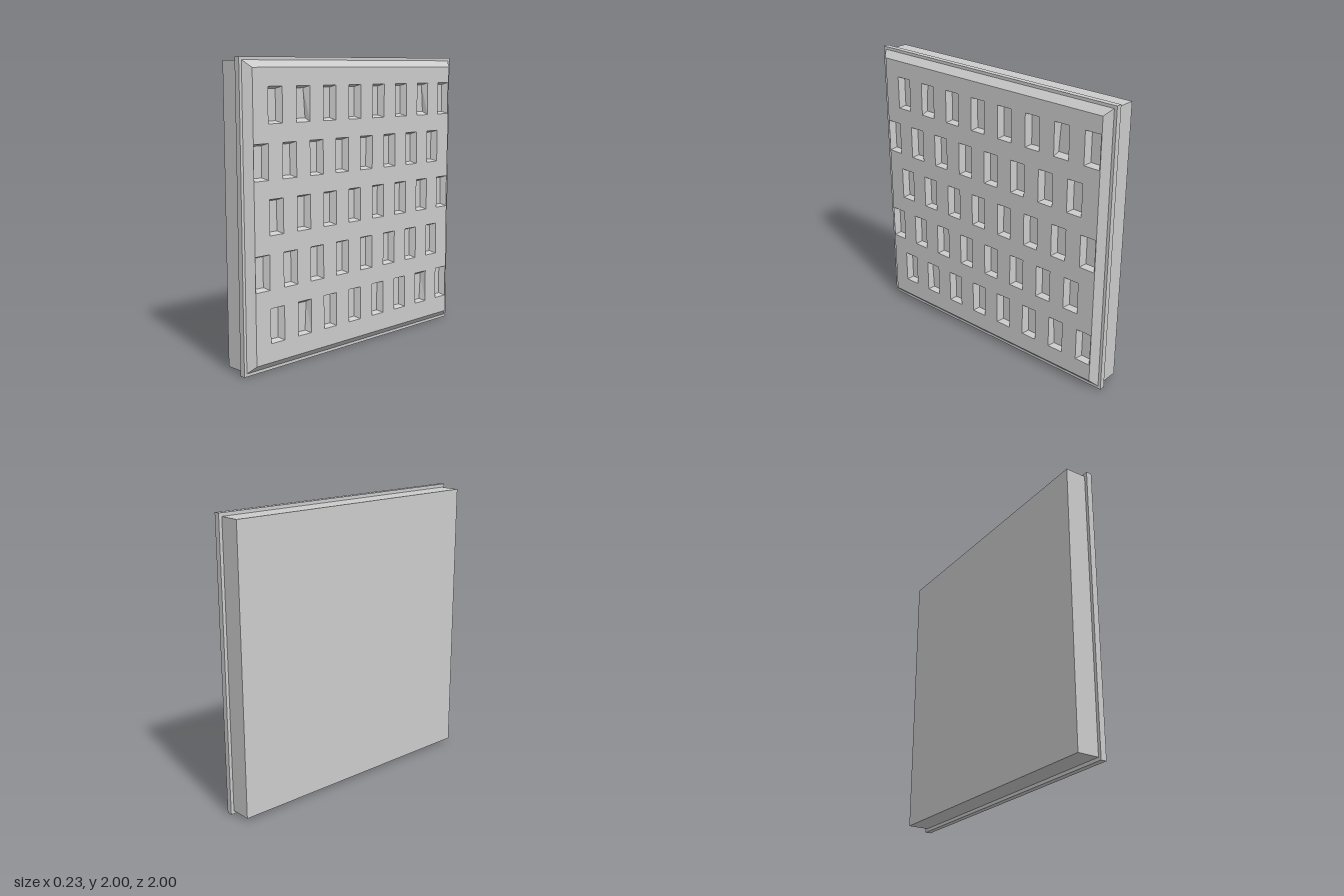
import * as THREE from 'three';
import { mergeGeometries } from 'three/addons/utils/BufferGeometryUtils.js';

const FACE = 0.117, FLOOR = 0.075;
const material = new THREE.MeshStandardMaterial({ color: 0xcccccc, flatShading: true });

// Counter-clockwise rectangle; the top and bottom edges may differ in width
function quad(u, bottom, top, halfBottom, halfTop, depth) {
  return [
    [u - halfBottom, bottom, depth], [u + halfBottom, bottom, depth],
    [u + halfTop, top, depth], [u - halfTop, top, depth],
  ];
}

// Four sloping walls between two loops, with an optional cap on the second
function loft(outer, inner, cap) {
  const p = [];
  const face = (a, b, c, d) => p.push(...a, ...b, ...c, ...a, ...c, ...d);
  for (let i = 0; i < 4; i++) {
    const j = (i + 1) % 4;
    face(outer[i], outer[j], inner[j], inner[i]);
  }
  if (cap) face(...inner);
  const g = new THREE.BufferGeometry();
  g.setAttribute('position', new THREE.Float32BufferAttribute(p, 3));
  g.computeVertexNormals();
  return g;
}

const toShape = (loop, Type) => new Type(loop.map(([x, y]) => new THREE.Vector2(x, y)));

export function createModel() {
  const model = new THREE.Group();
  const add = (parent, name, geometry) => {
    const mesh = new THREE.Mesh(geometry, material);
    mesh.name = name;
    parent.add(mesh);
    return mesh;
  };

  // Backing block and the thin flange around it
  add(model, 'backingBlock', new THREE.BoxGeometry(0.152, 1.955, 1.955)).position.set(-0.041, 1, 0);
  add(model, 'flange', new THREE.BoxGeometry(0.04, 2, 2)).position.set(0.052, 1, 0);

  // Front panel is drawn in a plane, then turned to face +x
  const panel = new THREE.Group();
  panel.name = 'frontPanel';
  panel.rotation.y = Math.PI / 2;
  model.add(panel);

  const rim = quad(0, 0.065, 1.935, 0.935, 0.935, FACE);
  const faceShape = toShape(rim, THREE.Shape);
  add(panel, 'bevelledEdge', loft(quad(0, 0.02, 1.98, 0.98, 0.98, 0.072), rim, false));

  // Five staggered rows of eight tapered pockets
  const pockets = [];
  for (let row = 0; row < 5; row++) {
    const y = 0.305 + row * 0.35;
    const shift = row % 2 ? -0.875 : -0.757;
    for (let col = 0; col < 8; col++) {
      const u = shift + col * 0.2327;
      const mouth = quad(u, y - 0.115, y + 0.115, 0.0575, 0.0575, FACE);
      const special = (row === 0 || row === 4) && (col === 1 || col === 6);
      let floor = quad(u, y - 0.1, y + 0.1, 0.036, 0.036, FLOOR);
      // Wedge-shaped floors in the outer rows
      if (special && row === 4) floor = quad(u, y - 0.093, y + 0.1, 0.051, 0.036, FLOOR);
      if (special && row === 0) floor = quad(u, y - 0.103, y + 0.093, 0.038, 0.049, FLOOR);
      faceShape.holes.push(toShape(mouth, THREE.Path));
      pockets.push(loft(mouth, floor, true));
    }
  }
  add(panel, 'pockets', mergeGeometries(pockets));
  add(panel, 'frontFace', new THREE.ShapeGeometry(faceShape)).position.z = FACE;

  return model;
}
